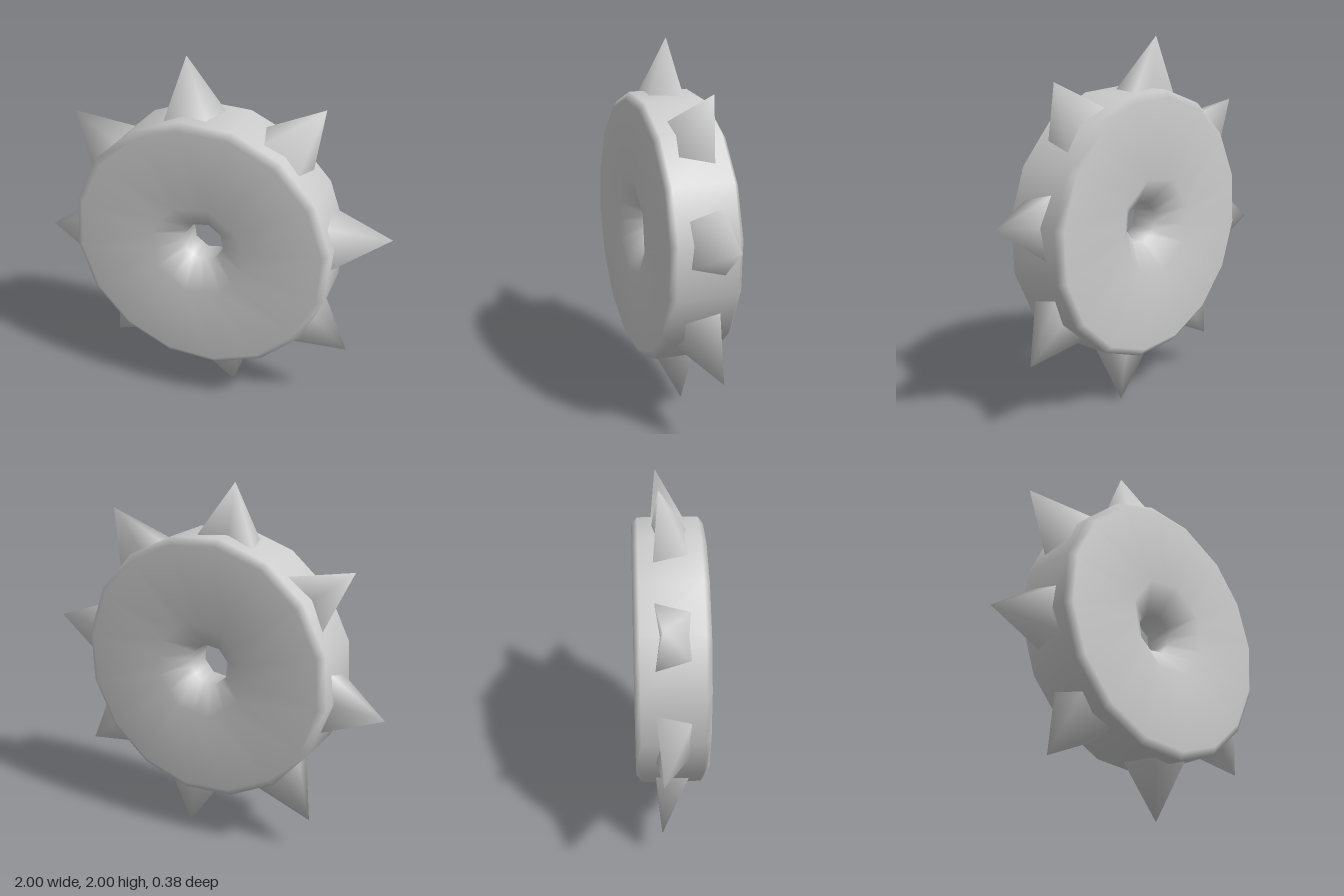
import * as THREE from 'three';
import { mergeVertices } from 'three/addons/utils/BufferGeometryUtils.js';

const TILT = THREE.MathUtils.degToRad(8);
const SIDES = 16;
const SPIKES = 8;
const TIP_RADIUS = 1.009;

// Thick 16-sided disc whose faces funnel into an eight-sided hole
function wheelGeometry() {
  const profile = [
    [0.69, -0.19], [0.73, -0.16], [0.73, 0.16], [0.69, 0.19],
    [0.27, 0.19], [0.115, 0.075], [0.115, -0.075], [0.27, -0.19], [0.69, -0.19],
  ].map(([r, h]) => new THREE.Vector2(r, h));
  let geo = new THREE.LatheGeometry(profile, SIDES);
  const pos = geo.attributes.position;
  for (let i = 0; i < pos.count; i++) {
    const x = pos.getX(i), z = pos.getZ(i);
    const step = Math.round(Math.atan2(x, z) / (2 * Math.PI / SIDES));
    // every second inner point drops onto the octagon's edge
    if (Math.hypot(x, z) < 0.4 && step % 2 === 0) {
      const k = Math.cos(Math.PI / 8);
      pos.setX(i, x * k);
      pos.setZ(i, z * k);
    }
  }
  // weld the seams for smooth shading
  geo.deleteAttribute('normal');
  geo.deleteAttribute('uv');
  geo = mergeVertices(geo, 1e-4);
  geo.computeVertexNormals();
  geo.rotateX(Math.PI / 2);
  return geo;
}

// Pointed spike along +y with a shallow groove in its back, widening into the disc
function spikeGeometry() {
  const tipZ = -0.055, rimRadius = 0.72, rootRadius = 0.66;
  const grow = (TIP_RADIUS - rootRadius) / (TIP_RADIUS - rimRadius);
  const section = [[-0.112, 0.083], [0.112, 0.083], [0.153, -0.084], [0, -0.062], [-0.153, -0.084]];
  const points = [0, TIP_RADIUS, tipZ];
  const index = [];
  section.forEach(([x, z], i) => {
    points.push(x * grow, rootRadius, tipZ + (z - tipZ) * grow);
    index.push(0, 1 + i, 1 + (i + 1) % section.length);
  });
  const geo = new THREE.BufferGeometry();
  geo.setAttribute('position', new THREE.Float32BufferAttribute(points, 3));
  geo.setIndex(index);
  geo.computeVertexNormals();
  return geo;
}

export function createModel() {
  const model = new THREE.Group();
  model.name = 'spikedWheel';
  const material = new THREE.MeshStandardMaterial({ color: 0xcccccc });

  const wheel = new THREE.Mesh(wheelGeometry(), material);
  wheel.name = 'wheel';
  wheel.position.y = 1;
  wheel.rotation.z = TILT;
  model.add(wheel);

  // Ring of spikes around the rim
  const spikeGeo = spikeGeometry();
  for (let i = 0; i < SPIKES; i++) {
    const spike = new THREE.Mesh(spikeGeo, material);
    spike.name = 'spike' + (i + 1);
    spike.position.y = 1;
    spike.rotation.z = TILT + (i / SPIKES) * Math.PI * 2;
    model.add(spike);
  }
  return model;
}
